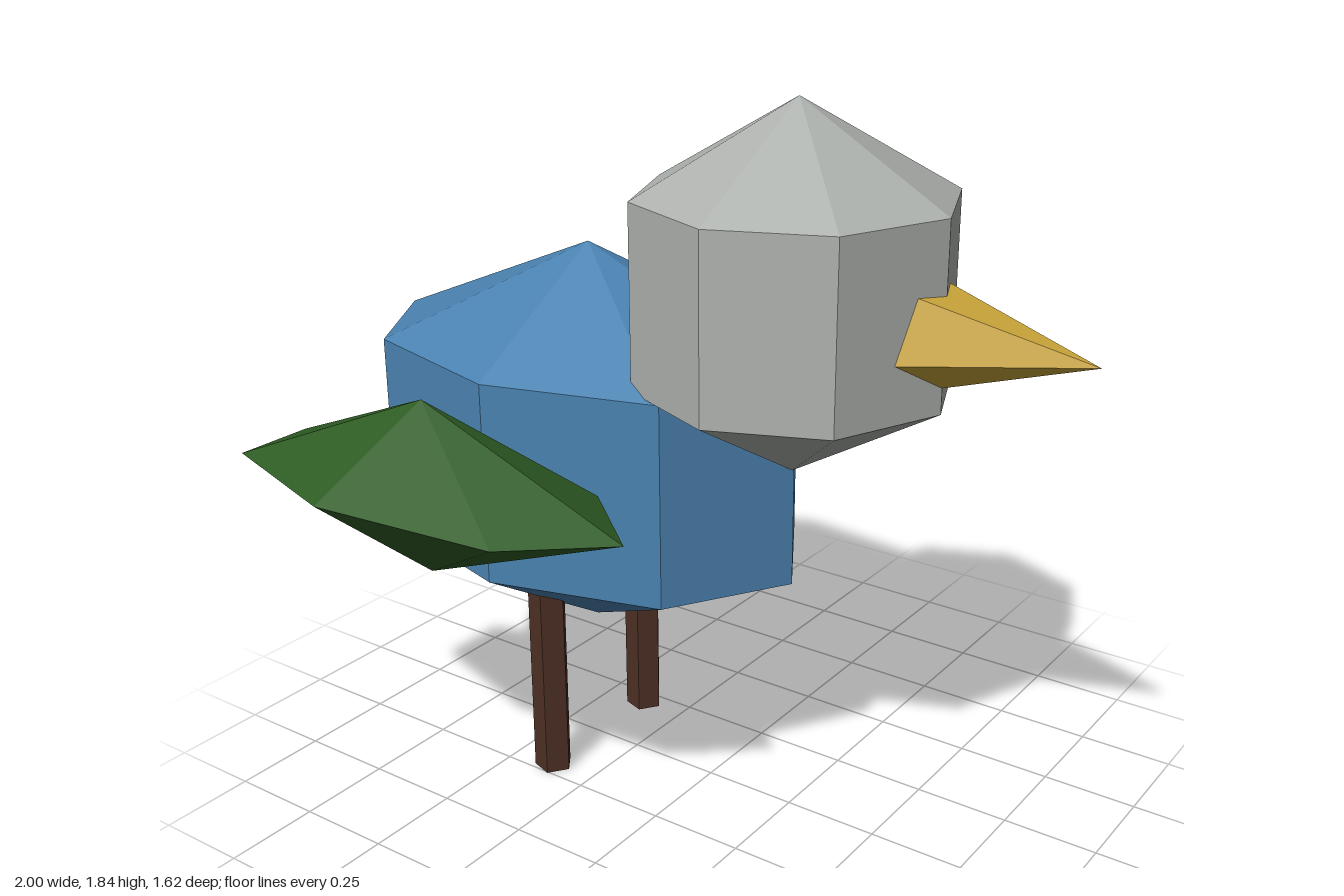
import * as THREE from 'three';

const material = (name, color) =>
  new THREE.MeshStandardMaterial({ name, color, flatShading: true });

export function createModel() {
  const blue = material('bodyBlue', 0x4a82b0);
  const grey = material('headGrey', 0xadb1ad);
  const green = material('wingGreen', 0x2e5c24);
  const gold = material('beakGold', 0xc9a43a);
  const brown = material('legBrown', 0x4e3025);

  const bird = new THREE.Group();
  bird.name = 'bird';

  const add = (name, geometry, mat, x, y, z) => {
    const mesh = new THREE.Mesh(geometry, mat);
    mesh.name = name;
    mesh.position.set(x, y, z);
    bird.add(mesh);
    return mesh;
  };

  // Body and head: coarse spheres with two rings of eight corners
  add('body', new THREE.SphereGeometry(1, 8, 3), blue, -0.377, 0.897, 0)
    .scale.set(0.719, 0.522, 0.49);
  add('head', new THREE.SphereGeometry(0.45, 8, 3), grey, 0.24, 1.39, 0);

  // Beak: five-sided cone pointing along +x, one edge down, base inside the head
  const beak = new THREE.ConeGeometry(0.16, 0.5, 5);
  beak.rotateY(Math.PI / 2).rotateZ(-Math.PI / 2);
  add('beak', beak, gold, 0.747, 1.346, 0);

  // Wings: seven-sided double pyramids with a corner to the front
  const wing = new THREE.SphereGeometry(1, 7, 2);
  wing.rotateY(Math.PI).scale(0.589, 0.22, 0.241);

  // Legs: five-sided posts running up into the body
  const leg = new THREE.CylinderGeometry(0.0513, 0.0513, 0.64, 5);
  leg.rotateY(Math.PI / 2);

  for (const [side, s] of [['left', -1], ['right', 1]]) {
    add(side + 'Wing', wing, green, -0.419, 0.936, s * 0.576);
    add(side + 'Leg', leg, brown, -0.378, 0.32, s * 0.205);
  }

  return bird;
}
